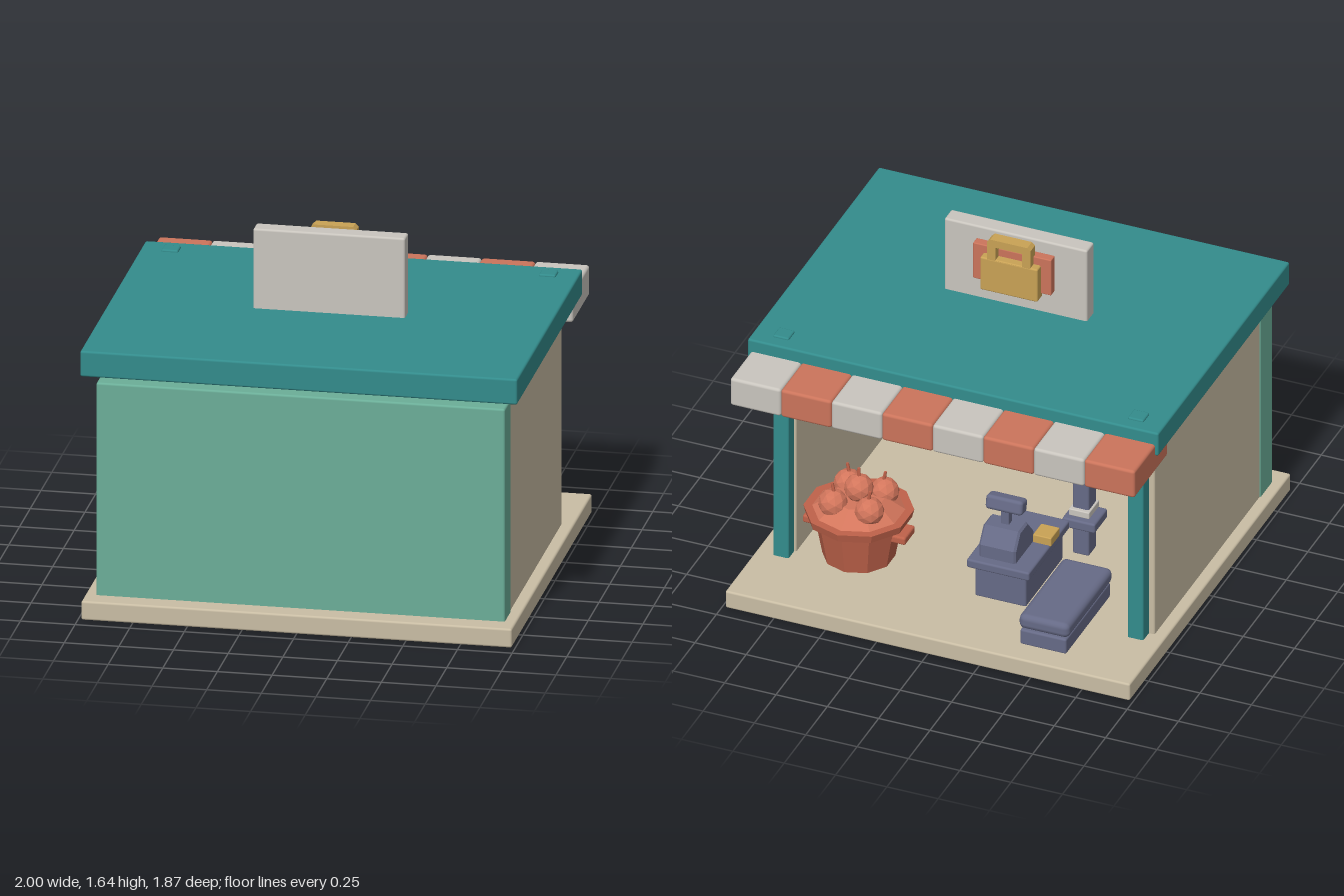
import * as THREE from 'three';
import { RoundedBoxGeometry } from 'three/addons/geometries/RoundedBoxGeometry.js';

const paint = (name, color, flatShading = false) => {
  const m = new THREE.MeshStandardMaterial({ color, flatShading });
  m.name = name;
  return m;
};

export function createModel() {
  const tan = paint('sand', 0xc9bda4);
  const teal = paint('teal', 0x338c8c);
  const green = paint('mint', 0x6bae98);
  const grey = paint('warm grey', 0xc9c5be);
  const red = paint('terracotta', 0xcb745b);
  const gold = paint('gold', 0xc9a255);
  const slate = paint('slate', 0x666a86);
  const clay = paint('basket clay', 0xbf624a, true);
  const fruitRed = paint('fruit red', 0xd3765c, true);

  const model = new THREE.Group();
  model.name = 'marketStall';

  const add = (name, geometry, material, x, y, z, parent = model) => {
    const mesh = new THREE.Mesh(geometry, material);
    mesh.name = name;
    mesh.position.set(x, y, z);
    parent.add(mesh);
    return mesh;
  };
  // Softened box given by its extents on each axis
  const box = (name, mat, [x0, x1], [y0, y1], [z0, z1], parent = model, r = 0.01) =>
    add(name, new RoundedBoxGeometry(x1 - x0, y1 - y0, z1 - z0, 2, r), mat,
      (x0 + x1) / 2, (y0 + y1) / 2, (z0 + z1) / 2, parent);
  const group = (name, x = 0, y = 0, z = 0) => {
    const g = new THREE.Group();
    g.name = name;
    g.position.set(x, y, z);
    model.add(g);
    return g;
  };

  // Building shell
  box('floor', tan, [-0.985, 0.985], [0, 0.09], [-0.935, 0.935]);
  box('rearWall', green, [-0.935, 0.935], [0.08, 1.1], [0.7, 0.84]);
  box('roof', teal, [-1, 1], [1.14, 1.262], [-0.64, 0.885]);
  for (const s of [-1, 1]) {
    const side = s > 0 ? 'left' : 'right';
    const span = (a, b) => (s > 0 ? [a, b] : [-b, -a]);
    box(side + 'Wall', tan, span(0.815, 0.93), [0.08, 1.11], [-0.515, 0.765]);
    box(side + 'Post', teal, span(0.825, 0.902), [0.08, 1.272], [-0.58, -0.505], model, 0.008);
  }

  // Striped awning
  const awning = group('awning');
  const step = 1.97 / 8;
  for (let i = 0; i < 8; i++) {
    const x = -0.985 + i * step;
    box('awningStripe', i % 2 ? grey : red, [x, x + step], [1.055, 1.2], [-0.88, -0.49], awning, 0.014);
  }

  // Roof sign with a bag emblem
  const sign = group('roofSign');
  box('signBoard', grey, [-0.35, 0.345], [1.25, 1.64], [0.082, 0.165], sign);
  box('emblemBacking', red, [-0.193, 0.188], [1.385, 1.575], [0.04, 0.085], sign, 0.005);
  box('bagBody', gold, [-0.143, 0.137], [1.36, 1.535], [0, 0.06], sign, 0.008);
  const handle = new THREE.Shape([[-0.105, 0], [0.105, 0], [0.105, 0.095], [0.09, 0.11], [-0.09, 0.11], [-0.105, 0.095]]
    .map(([x, y]) => new THREE.Vector2(x, y)));
  handle.holes.push(new THREE.Path([[-0.065, 0], [-0.065, 0.07], [0.065, 0.07], [0.065, 0]]
    .map(([x, y]) => new THREE.Vector2(x, y + 0.002))));
  add('bagHandle', new THREE.ExtrudeGeometry(handle, { depth: 0.055, bevelEnabled: false }), gold, -0.003, 1.53, 0.001, sign);

  // Fruit basket
  const basket = group('fruitBasket', 0.55, 0.09, -0.42);
  add('basketBody', new THREE.CylinderGeometry(0.205, 0.165, 0.22, 10), clay, 0, 0.11, 0, basket);
  add('basketRim', new THREE.CylinderGeometry(0.25, 0.24, 0.04, 10), clay, 0, 0.23, 0, basket);
  add('fruitMound', new THREE.CylinderGeometry(0.12, 0.21, 0.06, 10), fruitRed, 0, 0.28, 0, basket);
  for (const s of [-1, 1])
    box('basketHandle', clay, s > 0 ? [0.16, 0.25] : [-0.25, -0.16], [0.14, 0.18], [-0.06, 0.06], basket);
  const addFruit = (x, y, z) => {
    add('fruit', new THREE.IcosahedronGeometry(0.068, 1), fruitRed, x, y, z, basket);
    const stem = add('fruitStem', new THREE.CylinderGeometry(0.007, 0.009, 0.05, 6), clay, x, y + 0.08, z, basket);
    stem.rotation.z = -x * 2;
  };
  for (let i = 0; i < 4; i++) {
    const a = Math.PI / 4 + i * Math.PI / 2;
    addFruit(0.125 * Math.cos(a), 0.305, 0.125 * Math.sin(a));
  }
  addFruit(0, 0.355, 0);

  // Conveyor: plinth and rounded belt
  const conveyor = group('conveyor');
  box('conveyorBase', slate, [-0.625, -0.4], [0.085, 0.165], [-0.815, -0.3], conveyor);
  box('conveyorBelt', slate, [-0.635, -0.39], [0.165, 0.24], [-0.815, -0.29], conveyor, 0.028);

  // Counter and till
  const counter = group('counter');
  box('counterBase', slate, [-0.31, -0.06], [0.085, 0.25], [-0.53, -0.1], counter);
  box('counterTop', slate, [-0.335, -0.03], [0.245, 0.29], [-0.555, -0.08], counter);
  const till = new THREE.Shape([[-0.1, 0], [0.1, 0], [0.1, 0.06], [0.05, 0.13], [-0.03, 0.13], [-0.1, 0.05]]
    .map(([x, y]) => new THREE.Vector2(x, y)));
  const tillGeometry = new THREE.ExtrudeGeometry(till, { depth: 0.16, bevelSize: 0.01, bevelThickness: 0.01, bevelSegments: 1 });
  tillGeometry.translate(0, 0, -0.08).rotateY(Math.PI / 2);
  add('till', tillGeometry, slate, -0.16, 0.29, -0.4, counter);
  box('tillStem', slate, [-0.18, -0.14], [0.4, 0.52], [-0.42, -0.38], counter, 0.005);
  const display = box('tillDisplay', slate, [-0.25, -0.07], [0.495, 0.565], [-0.435, -0.365], counter, 0.016);
  display.rotation.x = 0.2;
  box('goldParcel', gold, [-0.34, -0.25], [0.285, 0.33], [-0.31, -0.21], counter, 0.005);

  // Upright stand behind the counter
  const stand = group('displayStand');
  box('standColumn', slate, [-0.41, -0.33], [0.085, 0.55], [-0.04, 0.05], stand);
  box('standLedge', slate, [-0.46, -0.3], [0.25, 0.3], [-0.09, 0.06], stand);
  box('standCollar', grey, [-0.42, -0.32], [0.3, 0.335], [-0.06, 0.06], stand, 0.005);
  box('standCap', grey, [-0.42, -0.32], [0.55, 0.59], [-0.05, 0.06], stand, 0.005);
  box('standTop', slate, [-0.43, -0.31], [0.59, 0.63], [-0.06, 0.07], stand);

  return model;
}
